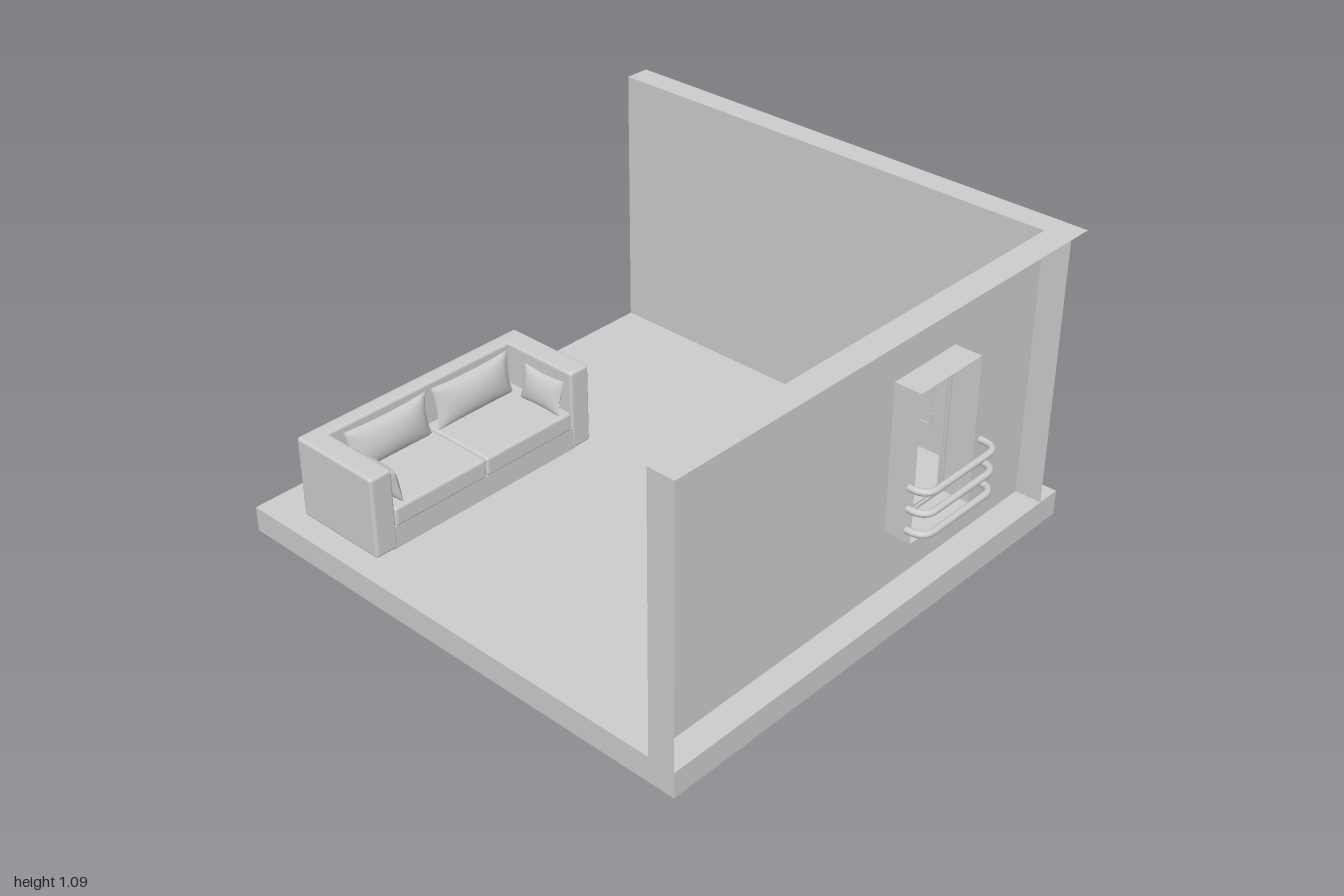
import * as THREE from 'three';
import { RoundedBoxGeometry } from 'three/addons/geometries/RoundedBoxGeometry.js';
import { mergeGeometries } from 'three/addons/utils/BufferGeometryUtils.js';

const solid = new THREE.MeshStandardMaterial({ color: 0xcccccc });
const thin = new THREE.MeshStandardMaterial({ color: 0xcccccc, side: THREE.DoubleSide });

function add(parent, name, geometry, material = solid) {
  const mesh = new THREE.Mesh(geometry, material);
  mesh.name = name;
  parent.add(mesh);
  return mesh;
}

// Box given by its limits; r > 0 rounds the edges
function box(parent, name, [x0, x1], [y0, y1], [z0, z1], r = 0) {
  const size = [x1 - x0, y1 - y0, z1 - z0];
  const g = r ? new RoundedBoxGeometry(...size, 4, r) : new THREE.BoxGeometry(...size);
  g.translate((x0 + x1) / 2, (y0 + y1) / 2, (z0 + z1) / 2);
  return add(parent, name, g);
}

// Flat four-cornered sheet
function sheet(parent, name, a, b, c, d) {
  const g = new THREE.BufferGeometry();
  g.setAttribute('position', new THREE.Float32BufferAttribute([...a, ...b, ...c, ...d], 3));
  g.setIndex([0, 1, 2, 0, 2, 3]);
  g.computeVertexNormals();
  return add(parent, name, g, thin);
}

// Level sheet facing up
function level(parent, name, y, [x0, x1], [z0, z1]) {
  return sheet(parent, name, [x0, y, z1], [x1, y, z1], [x1, y, z0], [x0, y, z0]);
}

// Rectangle in (z, y) with an optional rectangular hole
function rectShape([z0, z1], [y0, y1], hole) {
  const pts = (a, b, c, d) => [[a, c], [b, c], [b, d], [a, d]].map(p => new THREE.Vector2(...p));
  const s = new THREE.Shape(pts(z0, z1, y0, y1));
  if (hole) s.holes.push(new THREE.Path(pts(...hole[0], ...hole[1])));
  return s;
}

// Stuffed cushion: two bulging faces joined at a pinched seam
function pillow(parent, name, w, h, t) {
  const face = (turn) => {
    const g = new THREE.PlaneGeometry(2, 2, 18, 18);
    const p = g.attributes.position;
    for (let i = 0; i < p.count; i++) {
      const u = p.getX(i), v = p.getY(i);
      const bulge = Math.sqrt(Math.max(0, (1 - u * u) * (1 - v * v)));
      p.setXYZ(i, u * w / 2 * (1 - 0.07 * (1 - v * v)), v * h / 2 * (1 - 0.1 * (1 - u * u)), t / 2 * bulge);
    }
    g.computeVertexNormals();
    return g.rotateY(turn);
  };
  return add(parent, name, mergeGeometries([face(0), face(Math.PI)]));
}

const X0 = -1, XI = 0.82, X1 = 0.92;      // room: left edge, inner and outer side wall
const Z0 = -0.96, ZI = -0.865, Z1 = 0.96; // outer and inner back wall, front edge
const F = 0.095, T = 1.09;                // floor and wall top
const WZ = [-0.42, -0.115], WY = [0.32, 0.865];

function buildRoom() {
  const room = new THREE.Group();
  room.name = 'room';
  level(room, 'floor', F, [X0, XI], [ZI, Z1]);
  level(room, 'floorUnderSideWall', F, [XI, X1], [Z0, Z1]);

  // Slab edges, open underneath
  const corners = [[X0, Z1], [X1, Z1], [X1, Z0], [X0, Z0]];
  corners.forEach(([x, z], i) => {
    const [u, w] = corners[(i + 1) % 4];
    sheet(room, 'slabEdge', [x, 0, z], [u, 0, w], [u, F, w], [x, F, z]);
  });

  // Walls: inner faces, end faces and top strips
  sheet(room, 'backWall', [X0, F, ZI], [X1, F, ZI], [X1, T, ZI], [X0, T, ZI]);
  const wall = new THREE.ShapeGeometry(rectShape([ZI, Z1], [F, T], [WZ, WY]));
  add(room, 'sideWall', wall.rotateY(-Math.PI / 2).translate(XI, 0, 0), thin);
  sheet(room, 'sideWallEnd', [XI, F, Z1], [X1, F, Z1], [X1, T, Z1], [XI, T, Z1]);
  sheet(room, 'backWallEnd', [X0, F, Z0], [X0, F, ZI], [X0, T, ZI], [X0, T, Z0]);
  level(room, 'backWallTop', T, [X0, XI], [Z0, ZI]);
  level(room, 'sideWallTop', T, [XI, X1], [Z0, Z1]);
  return room;
}

function buildWindow() {
  const win = new THREE.Group();
  win.name = 'window';
  // Reveal lining the wall opening
  for (const y of WY) level(win, 'revealLevel', y, [XI, X1], WZ);
  for (const z of WZ) {
    sheet(win, 'revealSide', [XI, WY[0], z], [X1, WY[0], z], [X1, WY[1], z], [XI, WY[1], z]);
  }
  // Frame and inner sash
  const ring = (name, grow, inset, x0, x1) => {
    const span = ([a, b], d) => [a - d, b + d];
    const shape = rectShape(span(WZ, grow), span(WY, grow), [span(WZ, -inset), span(WY, -inset)]);
    const g = new THREE.ExtrudeGeometry(shape, { depth: x1 - x0, bevelEnabled: false });
    add(win, name, g.rotateY(-Math.PI / 2).translate(x1, 0, 0));
  };
  ring('frameRim', 0.012, 0.005, 0.814, 0.819);
  ring('frame', 0, 0.012, 0.803, 0.822);
  ring('sash', -0.01, 0.02, 0.808, 0.816);

  // Blind box with a small knob and a hanging crank
  box(win, 'blindBox', [0.74, XI], [0.88, 0.97], [-0.435, -0.1]);
  box(win, 'blindKnob', [0.73, 0.742], [0.915, 0.938], [-0.305, -0.235]);
  const z = -0.42;
  box(win, 'crankRod', [0.75, 0.755], [0.54, 0.88], [z - 0.002, z + 0.002]);
  box(win, 'crankSleeve', [0.748, 0.758], [0.54, 0.585], [z - 0.004, z + 0.004]);
  box(win, 'crankArm', [0.7, 0.755], [0.538, 0.543], [z - 0.002, z + 0.002]);
  box(win, 'crankHandle', [0.7, 0.705], [0.49, 0.543], [z - 0.003, z + 0.003]);
  return win;
}

function buildRails() {
  const rails = new THREE.Group();
  rails.name = 'windowRails';
  // Bars leave the wall, round the corners and return
  const v = (x, z) => new THREE.Vector3(x, 0, z);
  const path = new THREE.CurvePath();
  path.add(new THREE.LineCurve3(v(0.92, -0.452), v(0.94, -0.452)));
  path.add(new THREE.QuadraticBezierCurve3(v(0.94, -0.452), v(0.987, -0.448), v(0.988, -0.4)));
  path.add(new THREE.LineCurve3(v(0.988, -0.4), v(0.988, -0.135)));
  path.add(new THREE.QuadraticBezierCurve3(v(0.988, -0.135), v(0.987, -0.09), v(0.94, -0.085)));
  path.add(new THREE.LineCurve3(v(0.94, -0.085), v(0.92, -0.085)));
  const g = new THREE.TubeGeometry(path, 64, 0.012, 12);
  for (const y of [0.39, 0.468, 0.546]) add(rails, 'rail', g, thin).position.y = y;
  return rails;
}

function buildSofa() {
  const sofa = new THREE.Group();
  sofa.name = 'sofa';
  const top = 0.405, seat = 0.25;
  box(sofa, 'backrest', [-0.845, -0.785], [F, top], [-0.105, 0.875], 0.012);
  box(sofa, 'arm', [-0.845, -0.47], [F, top], [-0.105, -0.018], 0.012);
  box(sofa, 'arm', [-0.845, -0.47], [F, top], [0.785, 0.875], 0.012);
  box(sofa, 'base', [-0.8, -0.472], [F, 0.18], [-0.03, 0.8]);
  for (const [z0, z1] of [[-0.018, 0.383], [0.384, 0.785]]) {
    box(sofa, 'seatCushion', [-0.787, -0.47], [0.175, seat], [z0, z1], 0.012);
  }
  // Two pillows against the back, one against each arm
  for (const z of [0.198, 0.577]) {
    const p = pillow(sofa, 'backPillow', 0.355, 0.165, 0.085);
    p.rotation.set(-0.15, Math.PI / 2, 0, 'YXZ');
    p.position.set(-0.737, 0.325, z);
  }
  for (const [z, s] of [[0.018, 1], [0.75, -1]]) {
    const p = pillow(sofa, 'armPillow', 0.195, 0.135, 0.055);
    p.rotation.x = -0.2 * s;
    p.position.set(-0.58, 0.312, z);
  }
  return sofa;
}

export function createModel() {
  const model = new THREE.Group();
  model.name = 'livingRoom';
  model.add(buildRoom(), buildWindow(), buildRails(), buildSofa());
  return model;
}
